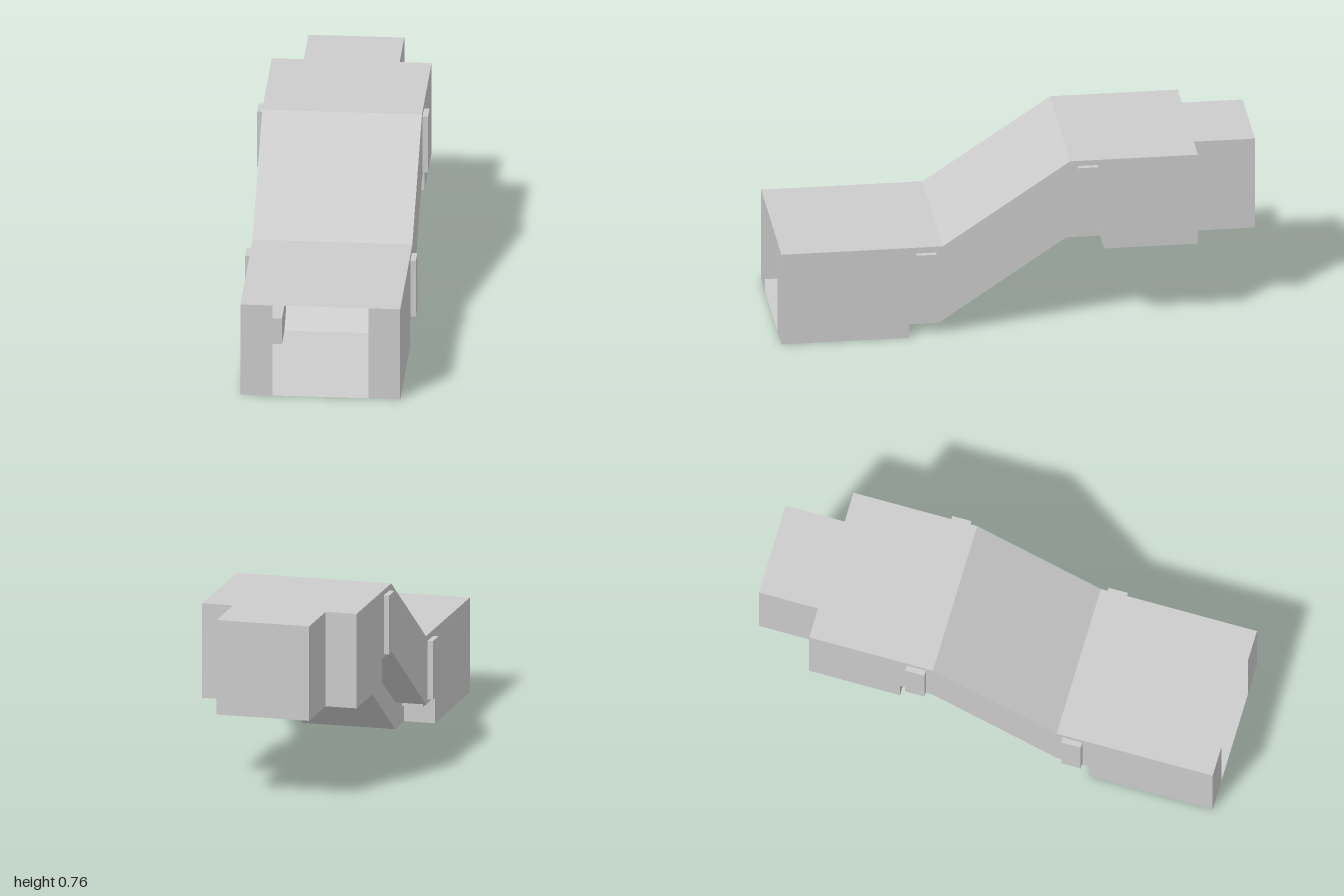
import * as THREE from 'three';

const W = 0.333; // half width of the body
const N = 0.2;   // half width of doorway, channel and rear neck

const shell = new THREE.MeshStandardMaterial({ color: 0xcccccc, side: THREE.DoubleSide, flatShading: true });
const solid = new THREE.MeshStandardMaterial({ color: 0xcccccc, flatShading: true });

// Side outlines, as [z, y]
const roofLine = [[1, 0.408], [0.325, 0.408], [-0.21, 0.765], [-0.745, 0.765]];
const ledgeLine = [[0.465, 0], [0.465, 0.115], [0.325, 0.115], [-0.21, 0.475], [-0.352, 0.475], [-0.352, 0.36]];
const channelLine = [[0.465, 0], [0.325, 0], [-0.21, 0.36], [-0.352, 0.36]];

export function createModel() {
  const group = new THREE.Group();

  const add = (name, geometry, material = shell) => {
    const mesh = new THREE.Mesh(geometry, material);
    mesh.name = name;
    group.add(mesh);
    return mesh;
  };

  // Sheet spanning x0..x1 that follows a [z, y] line
  const strip = (name, line, x0, x1) => {
    const pos = [];
    for (let i = 0; i < line.length - 1; i++) {
      const [za, ya] = line[i], [zb, yb] = line[i + 1];
      pos.push(x0, ya, za, x1, ya, za, x1, yb, zb, x0, ya, za, x1, yb, zb, x0, yb, zb);
    }
    const g = new THREE.BufferGeometry();
    g.setAttribute('position', new THREE.Float32BufferAttribute(pos, 3));
    g.computeVertexNormals();
    add(name, g);
  };

  // Flat upright wall at a given x, outlined in [z, y]
  const wall = (name, outline, x) => {
    const g = new THREE.ShapeGeometry(new THREE.Shape(outline.map(([z, y]) => new THREE.Vector2(z, y))));
    const p = g.attributes.position;
    for (let i = 0; i < p.count; i++) p.setXYZ(i, x, p.getY(i), p.getX(i));
    g.computeVertexNormals();
    add(name, g);
  };

  const box = (name, size, centre) =>
    add(name, new THREE.BoxGeometry(...size), solid).position.set(...centre);

  // Roof, floors and closed rear end
  strip('roof', roofLine, -W, W);
  strip('neckRoof', [[-0.745, 0.765], [-1, 0.765]], -N, N);
  strip('lowerFloor', [[1, 0], [0.465, 0]], -W, W);
  strip('slopingFloor', channelLine, -N, N);
  strip('upperFloor', [[-0.352, 0.36], [-0.745, 0.36]], -W, W);
  strip('neckFloor', [[-0.745, 0.36], [-1, 0.36]], -N, N);
  strip('rearWall', [[-1, 0.36], [-1, 0.765]], -N, N);

  for (const s of [1, -1]) {
    // Walls, doorway panels and the notch along the slope
    wall('sideWall', [[1, 0], ...ledgeLine, [-0.745, 0.36], ...[...roofLine].reverse()], s * W);
    wall('channelWall', [...channelLine, ...[...ledgeLine.slice(1, 5)].reverse()], s * N);
    wall('neckWall', [[-0.745, 0.36], [-1, 0.36], [-1, 0.765], [-0.745, 0.765]], s * N);
    strip('ledge', ledgeLine, s * N, s * W);
    strip('frontPanel', [[1, 0], [1, 0.408]], s * N, s * W);
    strip('rearShoulder', [[-0.745, 0.36], [-0.745, 0.765]], s * N, s * W);

    // Raised side plates, with small blocks under the ledges below them
    for (const [z, y] of [[0.394, 0.115], [-0.282, 0.475]]) {
      box('sidePlate', [0.024, 0.252, 0.084], [s * (W + 0.011), y + 0.141, z]);
      box('ledgeBlock', [0.09, 0.02, 0.084], [s * 0.267, y - 0.01, z]);
    }
  }
  return group;
}
